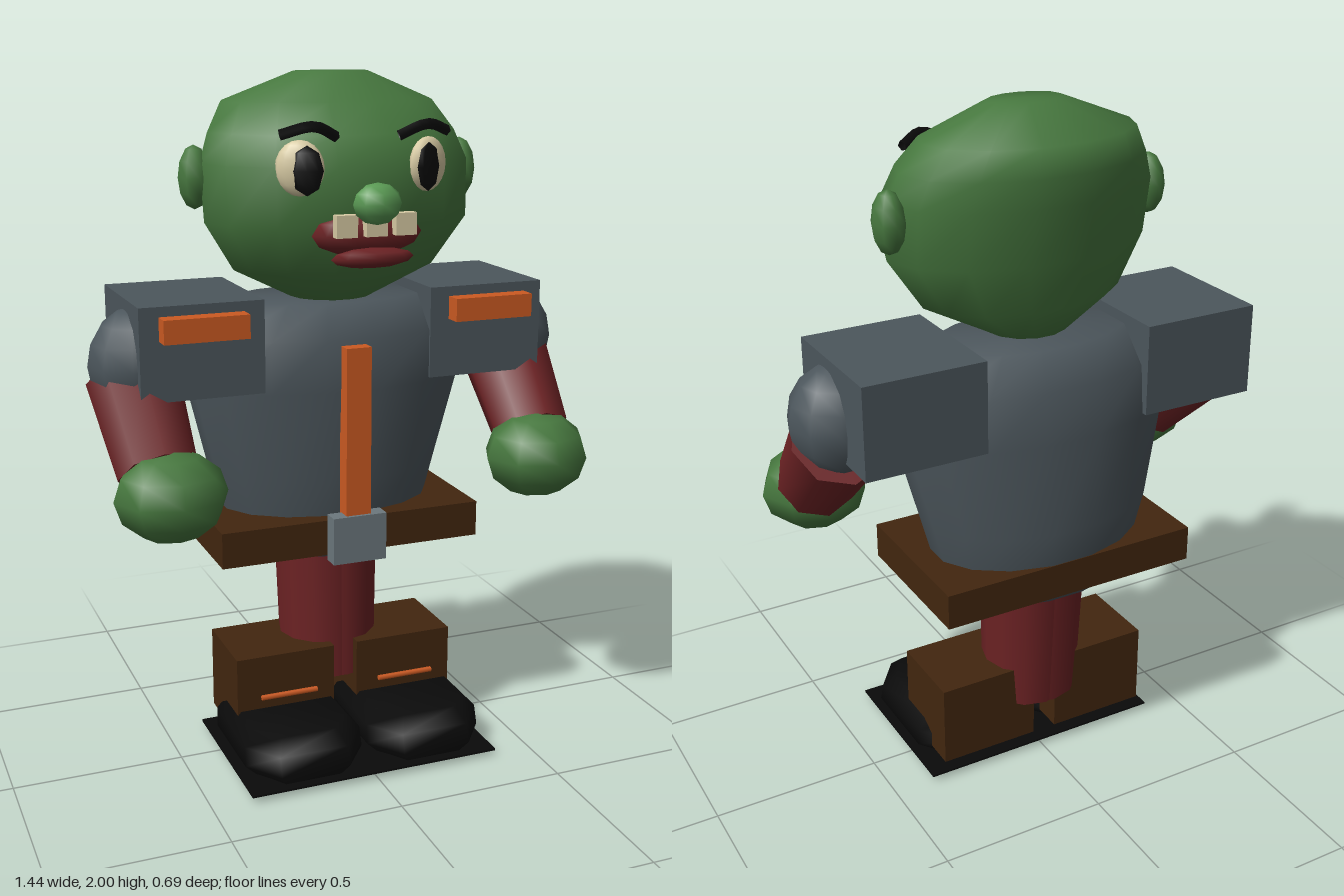
import * as THREE from 'three';

const mat = (name, color, side = THREE.FrontSide) => {
  const m = new THREE.MeshStandardMaterial({ color, side });
  m.name = name;
  return m;
};

// Closed loft of elliptical rings [y, halfWidth, zFront, zBack]; power > 1 makes it boxier
function loft(rings, n, boxy = 1) {
  const pos = [], idx = [];
  const bend = v => Math.sign(v) * Math.pow(Math.abs(v), 1 / boxy);
  for (const [y, rx, zf, zb] of rings) {
    for (let j = 0; j < n; j++) {
      const t = ((j + 0.5) / n) * Math.PI * 2;
      pos.push(rx * bend(Math.sin(t)), y, (zf + zb) / 2 + ((zf - zb) / 2) * bend(Math.cos(t)));
    }
  }
  const last = rings.length - 1;
  for (let i = 0; i < last; i++) {
    for (let j = 0; j < n; j++) {
      const a = i * n + j, b = i * n + ((j + 1) % n);
      idx.push(a, b, b + n, a, b + n, a + n);
    }
  }
  // End caps
  const c = rings.length * n;
  for (const [y, , zf, zb] of [rings[0], rings[last]]) pos.push(0, y, (zf + zb) / 2);
  for (let j = 0; j < n; j++) {
    const k = (j + 1) % n;
    idx.push(c, k, j, c + 1, last * n + j, last * n + k);
  }
  const g = new THREE.BufferGeometry();
  g.setAttribute('position', new THREE.Float32BufferAttribute(pos, 3));
  g.setIndex(idx);
  g.computeVertexNormals();
  return g;
}

export function createModel() {
  const root = new THREE.Group();
  root.name = 'ogre';
  const skin = mat('greenSkin', 0x47783f);
  const noseGreen = mat('lightGreen', 0x5a9a54);
  const grey = mat('greyTunic', 0x4c565c);
  const red = mat('darkRed', 0x6c2224);
  const brown = mat('brownLeather', 0x42260f);
  const orange = mat('orangeTrim', 0xcc5a22);
  const cream = mat('cream', 0xd8cba4);
  const black = mat('black', 0x0a0a0a, THREE.DoubleSide);
  const metal = mat('buckleGrey', 0x6c787d);

  const add = (name, geo, material, x = 0, y = 0, z = 0) => {
    const m = new THREE.Mesh(geo, material);
    m.name = name;
    m.position.set(x, y, z);
    root.add(m);
    return m;
  };
  // Box from its min/max extents
  const box = (name, material, x0, x1, y0, y1, z0, z1) =>
    add(name, new THREE.BoxGeometry(x1 - x0, y1 - y0, z1 - z0), material,
      (x0 + x1) / 2, (y0 + y1) / 2, (z0 + z1) / 2);
  const ball = (name, material, x, y, z, rx, ry, rz, w = 8, h = 6) => {
    const m = add(name, new THREE.SphereGeometry(1, w, h), material, x, y, z);
    m.scale.set(rx, ry, rz);
    return m;
  };
  // Tapered cylinder between two points
  const limb = (name, material, from, to, r0, r1, sides) => {
    const a = new THREE.Vector3(...from), d = new THREE.Vector3(...to).sub(a);
    const m = add(name, new THREE.CylinderGeometry(r1, r0, d.length(), sides), material);
    m.position.copy(a).addScaledVector(d, 0.5);
    m.quaternion.setFromUnitVectors(new THREE.Vector3(0, 1, 0), d.normalize());
    return m;
  };

  // Head and torso
  add('head', loft([
    [1.37, 0.12, 0.06, -0.17], [1.46, 0.3, 0.165, -0.215], [1.6, 0.39, 0.245, -0.24],
    [1.76, 0.395, 0.24, -0.27], [1.84, 0.365, 0.2, -0.272], [1.92, 0.315, 0.125, -0.268],
    [2.0, 0.11, 0.025, -0.115],
  ], 14), skin);
  add('torso', loft([
    [0.61, 0.28, 0.08, -0.3], [0.7, 0.315, 0.1, -0.325], [0.85, 0.355, 0.125, -0.348],
    [1.12, 0.425, 0.142, -0.332], [1.27, 0.42, 0.142, -0.318], [1.365, 0.3, 0.08, -0.25],
  ], 16), grey);

  // Belt, buckle and front stripe
  box('belt', brown, -0.4, 0.395, 0.64, 0.745, -0.33, 0.14);
  box('buckle', metal, -0.083, 0.08, 0.625, 0.765, 0.14, 0.19);
  box('frontStripe', orange, -0.04, 0.035, 0.75, 1.255, 0.13, 0.18);

  // Nose, mouth and teeth
  ball('nose', noseGreen, 0, 1.667, 0.295, 0.07, 0.056, 0.05);
  ball('mouth', red, 0, 1.58, 0.225, 0.16, 0.062, 0.05, 10, 6);
  ball('lowerLip', red, 0, 1.52, 0.265, 0.12, 0.028, 0.035);
  for (const x of [-0.085, 0, 0.085]) box('tooth', cream, x - 0.03, x + 0.03, 1.58, 1.64, 0.265, 0.295);

  for (const s of [1, -1]) {
    // Mirrored box with extents given for the left side
    const pair = (name, material, x0, x1, ...rest) =>
      box(name, material, Math.min(s * x0, s * x1), Math.max(s * x0, s * x1), ...rest);

    // Ears, eyes and brows
    ball('ear', skin, s * 0.402, 1.72, -0.045, 0.046, 0.088, 0.055);
    ball('eyeWhite', cream, s * 0.185, 1.758, 0.205, 0.066, 0.074, 0.03, 14, 10).rotation.y = s * 0.4;
    const pupil = ball('pupil', black, s * 0.175, 1.753, 0.234, 0.044, 0.066, 0.014, 8, 4);
    pupil.rotation.y = s * 0.4;
    const brow = new THREE.CatmullRomCurve3([
      new THREE.Vector3(s * 0.09, 1.838, 0.225),
      new THREE.Vector3(s * 0.16, 1.868, 0.245),
      new THREE.Vector3(s * 0.24, 1.846, 0.205),
    ]);
    add('brow', new THREE.TubeGeometry(brow, 8, 0.015, 5), black);

    // Shoulder pads with trim
    pair('shoulderPad', grey, 0.252, 0.607, 1.13, 1.395, -0.3, 0.1);
    pair('padTrim', orange, 0.31, 0.552, 1.3, 1.367, 0.1, 0.152);

    // Arms and hands
    ball('upperArm', grey, s * 0.575, 1.21, -0.06, 0.142, 0.16, 0.14, 10, 8);
    limb('sleeve', red, [s * 0.575, 0.94, 0.14], [s * 0.585, 1.16, -0.08], 0.115, 0.135, 8);
    ball('hand', skin, s * 0.557, 0.895, 0.2, 0.16, 0.127, 0.142);

    // Legs, boots, laces and shoes
    limb('leg', red, [s * 0.015, 0.2, -0.083], [s * 0.015, 0.65, -0.1], 0.132, 0.144, 12);
    pair('boot', brown, 0.037, 0.343, 0.07, 0.32, -0.18, 0.073);
    limb('bootLace', orange, [s * 0.1, 0.2, 0.095], [s * 0.275, 0.2, 0.095], 0.008, 0.008, 6);
    const shoe = loft([
      [0.003, 0.13, 0.3, -0.1], [0.06, 0.19, 0.34, -0.165],
      [0.115, 0.187, 0.325, -0.17], [0.155, 0.15, 0.28, -0.12],
    ], 8, 1.6);
    add('shoe', shoe, black, s * 0.19, 0, 0);
  }

  // Thin sole plate under both shoes
  box('solePlate', black, -0.385, 0.38, 0.02, 0.026, -0.17, 0.335);
  return root;
}
